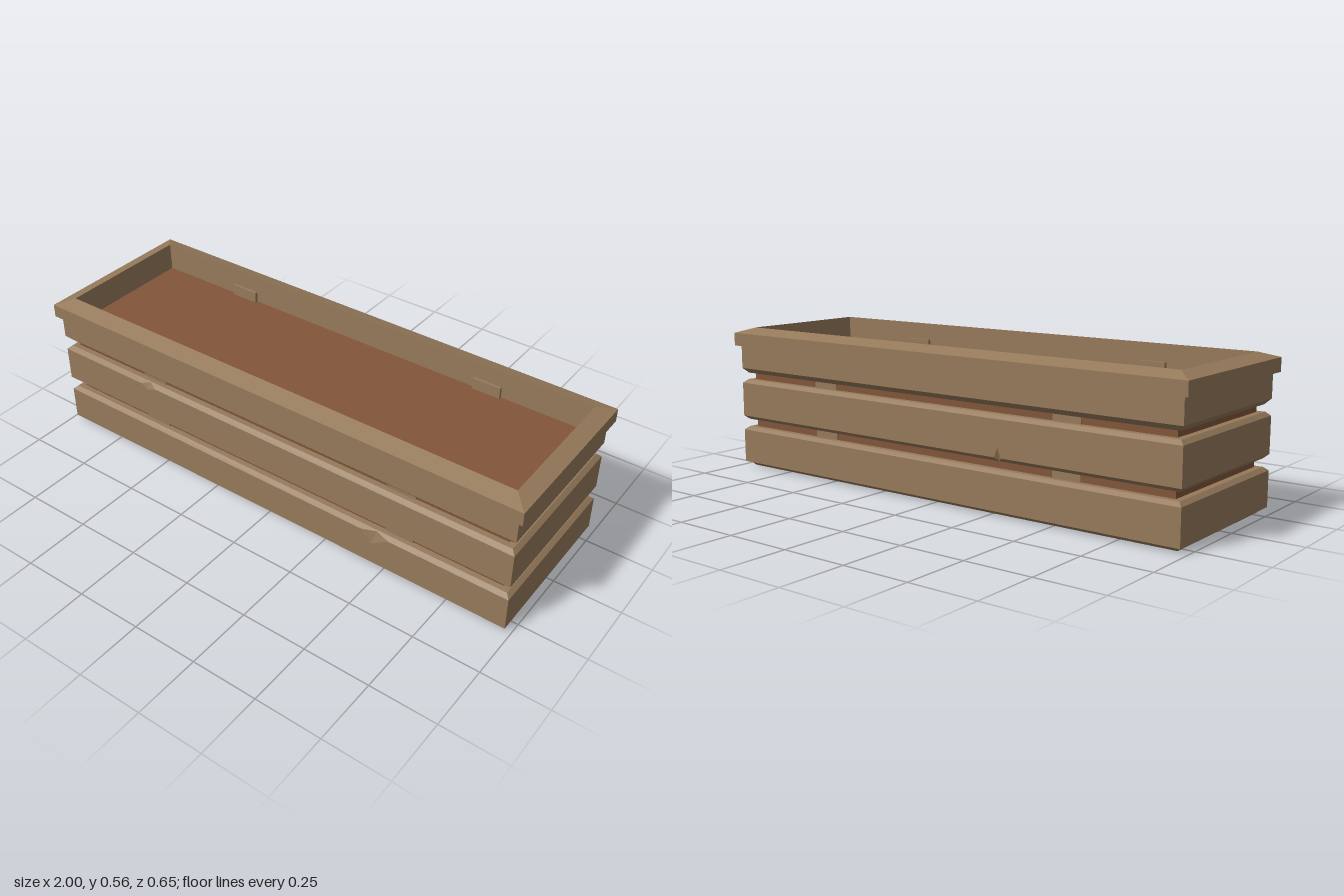
import * as THREE from 'three';

const wood = new THREE.MeshStandardMaterial({ color: 0x967a5b, flatShading: true });
const soilMat = new THREE.MeshStandardMaterial({ color: 0x82563a, flatShading: true });

// Mitred rectangular frame: rings are [halfX, halfZ, y], running up the outside and down the inside.
// Chips knock a four-cornered facet out of ring edge k on one side (0 front, 2 back).
function frame(name, rings, chips = []) {
  const pos = [];
  const n = rings.length;
  for (let s = 0; s < 4; s++) {
    const c = Math.round(Math.cos(s * Math.PI / 2)), sn = Math.round(Math.sin(s * Math.PI / 2));
    const put = (u, y, d) => pos.push(u * c + d * sn, y, -u * sn + d * c);
    const half = (r) => (s % 2 ? r[1] : r[0]);
    const dist = (r) => (s % 2 ? r[0] : r[1]);

    for (let i = 0; i < n; i++) {
      const lo = rings[i], hi = rings[(i + 1) % n];
      const above = chips.find((q) => q.side === s && q.edge === i);
      const below = chips.find((q) => q.side === s && q.edge === i + 1);
      const corners = [[-half(lo), lo[2], dist(lo)], [half(lo), lo[2], dist(lo)],
        [half(hi), hi[2], dist(hi)], [-half(hi), hi[2], dist(hi)]];
      if (!above && !below) {
        for (const k of [0, 1, 2, 0, 2, 3]) put(...corners[k]);
        continue;
      }
      // Panel with a notch in its upper or lower edge
      const depth = (y) => THREE.MathUtils.mapLinear(y, lo[2], hi[2], dist(lo), dist(hi));
      const outline = corners.map(([u, y]) => new THREE.Vector2(u, y));
      const v = (u, y) => new THREE.Vector2(u, y);
      if (below) outline.splice(3, 0, v(below.b, hi[2]), v(...below.low), v(below.a, hi[2]));
      if (above) outline.splice(1, 0, v(above.a, lo[2]), v(...above.high), v(above.b, lo[2]));
      for (const tri of THREE.ShapeUtils.triangulateShape(outline, [])) {
        for (const k of tri) put(outline[k].x, outline[k].y, depth(outline[k].y));
      }
      // The broken facet itself
      if (above) {
        const prev = rings[i - 1];
        const lowD = THREE.MathUtils.mapLinear(above.low[1], prev[2], lo[2], dist(prev), dist(lo));
        const A = [above.a, lo[2], dist(lo)], B = [above.b, lo[2], dist(lo)];
        const L = [...above.low, lowD], H = [...above.high, depth(above.high[1])];
        for (const p of [A, L, H, L, B, H]) put(...p);
      }
    }
  }
  const geo = new THREE.BufferGeometry();
  geo.setAttribute('position', new THREE.Float32BufferAttribute(pos, 3));
  geo.computeVertexNormals();
  const mesh = new THREE.Mesh(geo, wood);
  mesh.name = name;
  return mesh;
}

function box(name, size, at, material) {
  const mesh = new THREE.Mesh(new THREE.BoxGeometry(...size), material);
  mesh.position.set(...at);
  mesh.name = name;
  return mesh;
}

export function createModel() {
  const group = new THREE.Group();
  group.name = 'planterBox';

  // Three tiers of planks with bevelled edges
  group.add(frame('lowerPlanks', [
    [0.955, 0.277, 0], [0.97, 0.293, 0.018], [0.98, 0.308, 0.018], [0.98, 0.308, 0.147],
    [0.965, 0.293, 0.16], [0.942, 0.265, 0.16], [0.942, 0.265, 0],
  ], [{ side: 0, edge: 3, a: 0.41, b: 0.52, low: [0.45, 0.1], high: [0.47, 0.157] }]));

  group.add(frame('middlePlanks', [
    [0.965, 0.293, 0.19], [0.98, 0.308, 0.204], [0.98, 0.308, 0.336],
    [0.965, 0.293, 0.35], [0.942, 0.265, 0.35], [0.942, 0.265, 0.19],
  ], [
    { side: 0, edge: 2, a: -0.59, b: -0.52, low: [-0.56, 0.32], high: [-0.55, 0.348] },
    { side: 2, edge: 1, a: 0.275, b: 0.305, low: [0.29, 0.192], high: [0.29, 0.24] },
  ]));

  group.add(frame('upperPlanks', [
    [0.962, 0.29, 0.376], [0.98, 0.308, 0.395], [0.98, 0.308, 0.485],
    [0.942, 0.265, 0.485], [0.942, 0.265, 0.376],
  ]));

  // Overhanging rim, sloping up to its inner edge
  group.add(frame('rim', [
    [0.942, 0.264, 0.485], [1, 0.325, 0.485], [1, 0.325, 0.535], [0.942, 0.264, 0.555],
  ]));

  // Floor and soil
  group.add(box('floor', [1.884, 0.02, 0.53], [0, 0.01, 0], wood));
  group.add(box('soil', [1.884, 0.427, 0.544], [0, 0.2335, 0], soilMat));

  // Upright cleats joining the tiers along the long sides
  for (const x of [-0.545, 0.545]) {
    for (const z of [-0.265, 0.265]) {
      group.add(box('cleat', [0.11, 0.47, 0.024], [x, 0.255, z], wood));
    }
  }
  return group;
}
